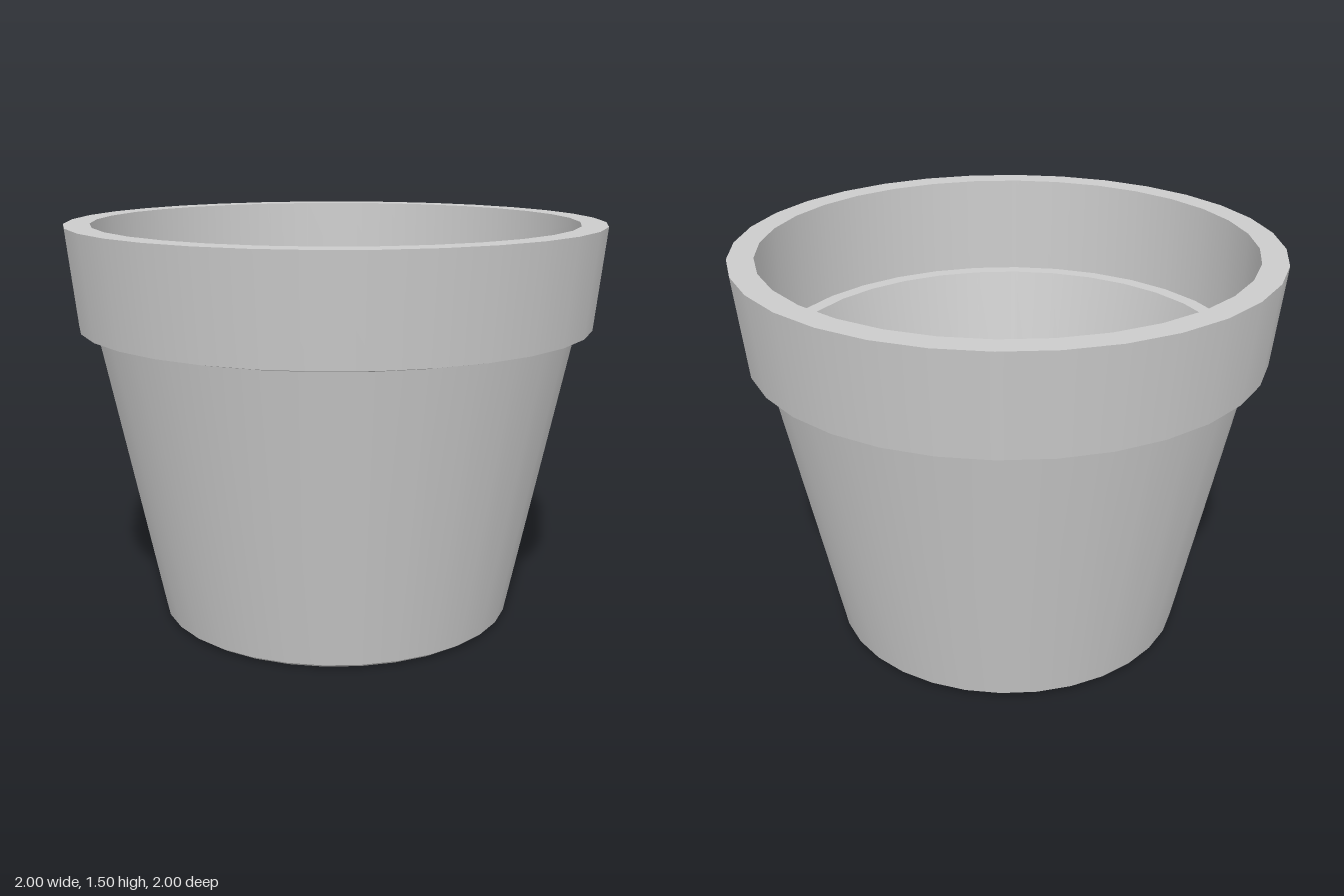
import * as THREE from 'three';
import { mergeGeometries } from 'three/addons/utils/BufferGeometryUtils.js';

const SEGMENTS = 32;

// Revolves each profile strip on its own, so edges between strips stay sharp.
function turned(name, strips, material) {
  const bands = strips.map((strip) =>
    new THREE.LatheGeometry(strip.map(([r, y]) => new THREE.Vector2(r, y)), SEGMENTS));
  const mesh = new THREE.Mesh(mergeGeometries(bands), material);
  mesh.name = name;
  return mesh;
}

export function createModel() {
  const group = new THREE.Group();
  group.name = 'flowerPot';
  const clay = new THREE.MeshStandardMaterial({ color: 0xcccccc });

  // Tapered body: underside, outer wall with a small foot chamfer, inner wall, floor
  group.add(turned('body', [
    [[0, 0], [0.65, 0]],
    [[0.65, 0], [0.672, 0.015]],
    [[0.672, 0.015], [0.897, 1.11]],
    [[0.84, 1.115], [0.645, 0.12]],
    [[0.645, 0.12], [0, 0.12]],
  ], clay));

  // Thick collar: underside, flared outside, flat lip, straight inside, inner ledge
  group.add(turned('rim', [
    [[0.897, 1.11], [0.96, 1.125]],
    [[0.96, 1.125], [1, 1.5]],
    [[1, 1.5], [0.905, 1.5]],
    [[0.905, 1.5], [0.9, 1.115]],
    [[0.9, 1.115], [0.84, 1.115]],
  ], clay));

  return group;
}
